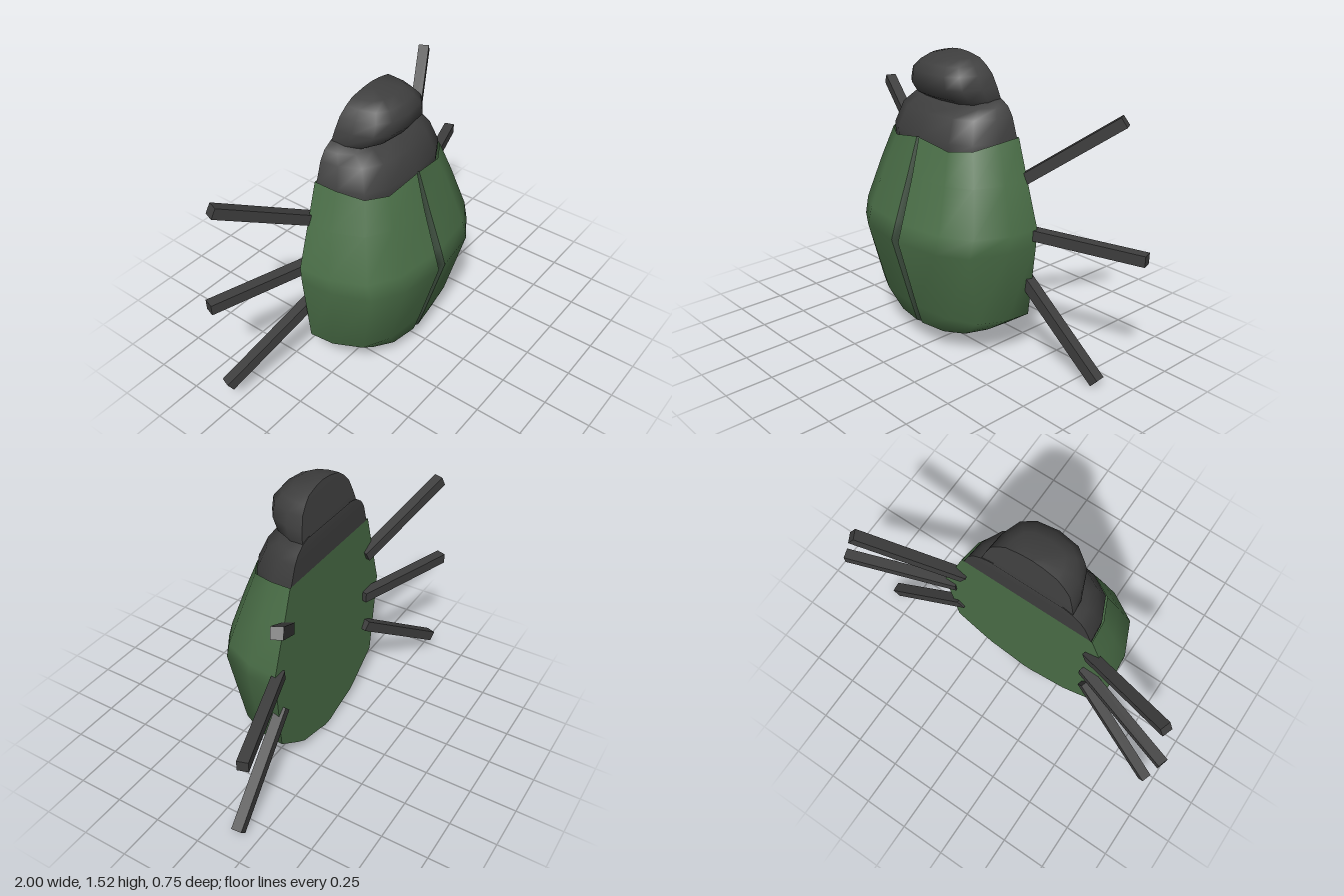
import * as THREE from 'three';

// Half cross-section of the body: [width factor, depth factor], flank to front
const SECTION = [[1, 0], [0.97, 0.36], [0.82, 0.74], [0.53, 0.93], [0, 1]];
const CENTRE_X = -0.05;

// Rows run upwards, points run from +x over the front to -x
function loft(name, rows, material) {
  const n = rows[0].length;
  const index = [];
  for (let i = 0; i < rows.length - 1; i++) {
    for (let j = 0; j < n - 1; j++) {
      const a = i * n + j, b = a + n;
      index.push(a, b, a + 1, b, b + 1, a + 1);
    }
  }
  const geo = new THREE.BufferGeometry();
  geo.setAttribute('position', new THREE.Float32BufferAttribute(rows.flat(2), 3));
  geo.setIndex(index);
  geo.computeVertexNormals();
  const mesh = new THREE.Mesh(geo, material);
  mesh.name = name;
  return mesh;
}

const mirror = (row) => row.map(([x, y, z]) => [-x, y, z]).reverse();

// One half row at height y: half width w, front depth zf, back plane zb
const halfRow = (y, w, zf, zb, gap = 0, lift = []) =>
  SECTION.map(([a, d], k) => [Math.max(w * a, gap), y + (lift[k] ?? 0), zb + (zf - zb) * d]);

const backRows = (rows) => rows.map((r) => [[-r[0][0], r[0][1], r[0][2]], r[0]]);

export function createModel() {
  const green = new THREE.MeshStandardMaterial({ color: 0x4a6e47, side: THREE.DoubleSide });
  green.name = 'shell green';
  const dark = new THREE.MeshStandardMaterial({ color: 0x3e3e3e, side: THREE.DoubleSide });
  dark.name = 'charcoal';
  const seam = new THREE.MeshStandardMaterial({ color: 0x3c4c3d, side: THREE.DoubleSide });
  seam.name = 'seam green';

  const model = new THREE.Group();
  model.name = 'beetle';
  const body = new THREE.Group();
  body.name = 'body';
  body.position.x = CENTRE_X;
  model.add(body);

  // Wing cases: [y, half width, front z, seam half width]
  const topLift = [0.03, 0.02, -0.01, -0.02, 0.015];
  const wing = [
    [0.025, 0.03, -0.1, 0.01], [0.042, 0.08, 0.06, 0.015], [0.085, 0.245, 0.14, 0.018],
    [0.13, 0.315, 0.22, 0.02], [0.24, 0.465, 0.255, 0.02], [0.63, 0.505, 0.37, 0.026],
    [0.72, 0.51, 0.342, 0.025], [0.95, 0.435, 0.267, 0.018], [1.125, 0.37, 0.212, 0.008],
  ].map(([y, w, zf, gap], i, all) =>
    halfRow(y, w, zf, -0.115, gap, i === all.length - 1 ? topLift : []));
  body.add(loft('leftWingCase', wing, green));
  body.add(loft('rightWingCase', wing.map(mirror), green));
  body.add(loft('belly', backRows(wing), green));

  // V-shaped groove between the wing cases
  body.add(loft('wingSeam', wing.map((r) => {
    const [x, y, z] = r[4];
    return [r[4], [0, y, z - x * 1.2], [-x, y, z]];
  }), seam));

  // Thorax and head: [y, half width, front z, back z]
  const parts = {
    thorax: [
      [1.08, 0.36, 0.2, -0.113], [1.14, 0.362, 0.203, -0.113], [1.25, 0.325, 0.155, -0.113],
      [1.295, 0.295, 0.08, -0.112], [1.325, 0.25, -0.01, -0.11], [1.337, 0.2, -0.1, -0.108],
    ],
    head: [
      [1.29, 0.235, 0.05, -0.108], [1.325, 0.25, 0.115, -0.106], [1.38, 0.235, 0.16, -0.096],
      [1.445, 0.212, 0.158, -0.083], [1.485, 0.175, 0.125, -0.076], [1.515, 0.135, 0.07, -0.07],
      [1.532, 0.06, -0.02, -0.066], [1.537, 0.001, -0.064, -0.065],
    ],
  };
  for (const [name, levels] of Object.entries(parts)) {
    const half = levels.map((l) => halfRow(...l));
    const full = half.map((r) => [...r, ...mirror(r).slice(1)]);
    body.add(loft(name, full, dark));
    body.add(loft(name + 'Back', backRows(half), dark));
  }

  // Legs: square bars from hip to tip
  const legs = {
    leftFrontLeg: [[0.33, 0.93, -0.11], [0.775, 1.288, -0.345]],
    leftMiddleLeg: [[0.4, 0.69, -0.1], [0.99, 0.68, -0.295]],
    leftRearLeg: [[0.38, 0.46, -0.1], [0.86, 0.035, -0.145]],
    rightFrontLeg: [[-0.41, 0.935, -0.11], [-0.915, 1.205, -0.285]],
    rightMiddleLeg: [[-0.4, 0.678, -0.115], [-0.99, 0.675, -0.305]],
    rightRearLeg: [[-0.42, 0.475, -0.12], [-0.955, 0.125, -0.295]],
  };
  for (const [name, ends] of Object.entries(legs)) {
    const [hip, tip] = ends.map((p) => new THREE.Vector3(...p));
    const leg = new THREE.Mesh(new THREE.BoxGeometry(0.056, 0.056, hip.distanceTo(tip)), dark);
    leg.name = name;
    leg.position.copy(hip).lerp(tip, 0.5);
    leg.lookAt(tip);
    model.add(leg);
  }
  return model;
}
